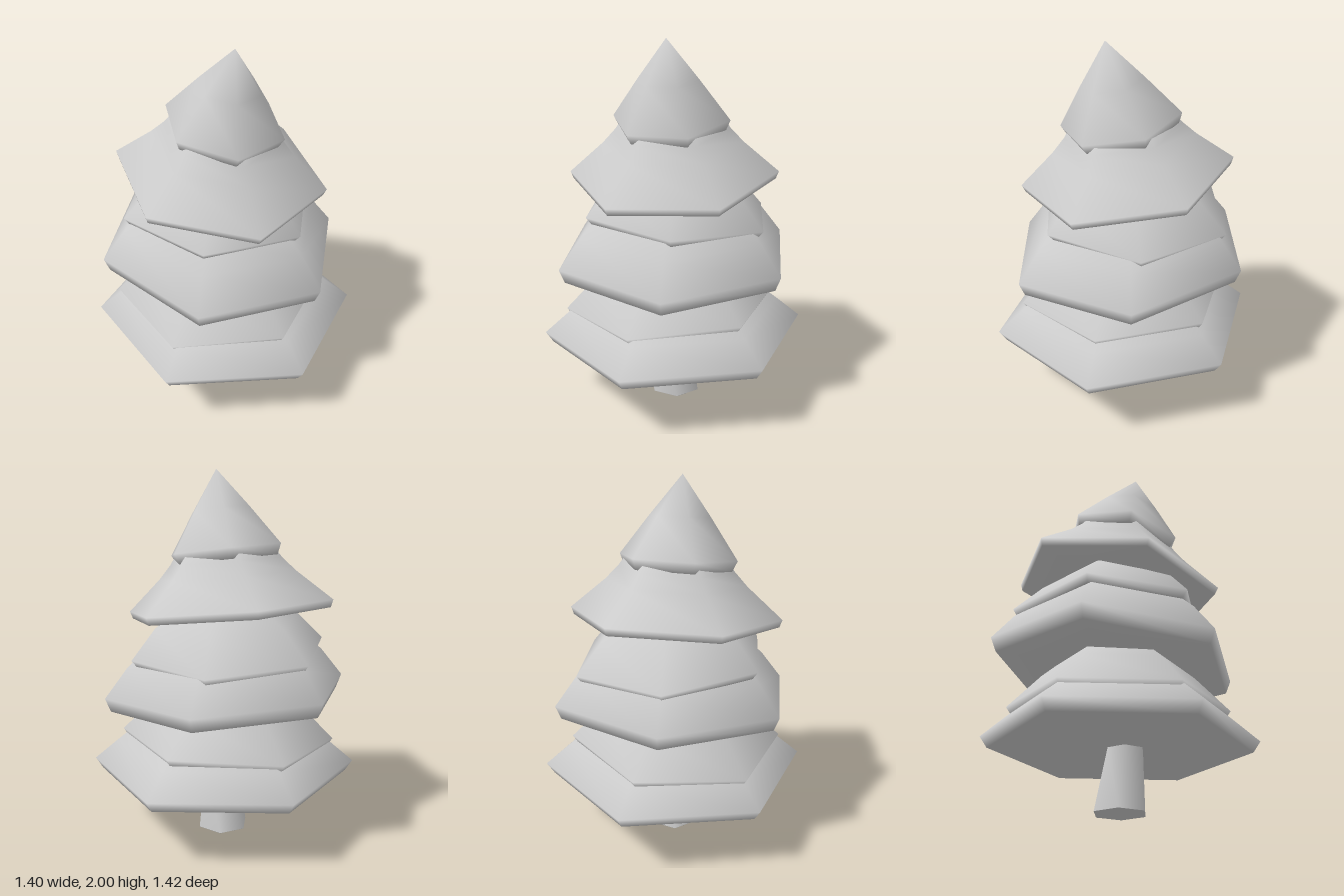
import * as THREE from 'three';
import { mergeVertices } from 'three/addons/utils/BufferGeometryUtils.js';

const material = new THREE.MeshStandardMaterial({ color: 0xcccccc });

// Six-sided smooth layer: profile of [radius, height], then tilted, leaned and moved
function layer(name, { at, turn, tilt = [0, 0], lean = [0, 0], profile }) {
  const points = profile.map(([r, y]) => new THREE.Vector2(r, y));
  let geo = new THREE.LatheGeometry(points, 6, THREE.MathUtils.degToRad(90 - turn));
  const pos = geo.attributes.position;
  for (let i = 0; i < pos.count; i++) {
    const x = pos.getX(i), y = pos.getY(i), z = pos.getZ(i);
    pos.setXYZ(
      i,
      at[0] + x + lean[0] * y,
      at[1] + y + tilt[0] * x + tilt[1] * z,
      at[2] + z + lean[1] * y
    );
  }
  // weld the seam so the shading runs smoothly all the way round
  geo.deleteAttribute('normal');
  geo.deleteAttribute('uv');
  geo = mergeVertices(geo, 1e-4);
  geo.computeVertexNormals();
  const mesh = new THREE.Mesh(geo, material);
  mesh.name = name;
  return mesh;
}

export function createModel() {
  const tree = new THREE.Group();
  tree.name = 'tree';

  // tapering trunk
  tree.add(layer('trunk', {
    at: [0.005, 0, 0], turn: 18, lean: [-0.04, 0.08],
    profile: [[0, 0], [0.145, 0], [0.145, 0.001], [0.103, 0.33], [0.09, 0.42]],
  }));

  // bottom tier
  tree.add(layer('bottomSkirt', {
    at: [0, 0.39, 0], turn: -16, tilt: [0.012, -0.012],
    profile: [[0, -0.06], [0.4, -0.06], [0.69, -0.06], [0.73, 0], [0.59, 0.12], [0.42, 0.26], [0, 0.36]],
  }));
  tree.add(layer('bottomCap', {
    at: [-0.02, 0.545, -0.015], turn: -16, tilt: [0.06, 0],
    profile: [[0, -0.05], [0.56, -0.045], [0.59, 0], [0.41, 0.18], [0.26, 0.3], [0, 0.38]],
  }));

  // middle tier
  tree.add(layer('middleSkirt', {
    at: [0, 0.83, -0.03], turn: 28, tilt: [0, -0.07],
    profile: [[0, -0.065], [0.38, -0.065], [0.645, -0.075], [0.675, 0], [0.55, 0.16], [0.42, 0.28], [0, 0.38]],
  }));
  tree.add(layer('middleCap', {
    at: [0.01, 1.05, -0.06], turn: 26, tilt: [-0.06, 0], lean: [0, 0.1],
    profile: [[0, -0.05], [0.51, -0.04], [0.54, 0], [0.4, 0.155], [0.25, 0.26], [0, 0.34]],
  }));

  // top tier
  tree.add(layer('topSkirt', {
    at: [-0.01, 1.28, -0.025], turn: -2, tilt: [0.022, -0.145], lean: [0, 0.1],
    profile: [[0, -0.035], [0.34, -0.035], [0.555, -0.04], [0.57, 0], [0.38, 0.165], [0.31, 0.24], [0.24, 0.34], [0, 0.42]],
  }));
  tree.add(layer('topCone', {
    at: [-0.017, 1.58, 0.01], turn: 6, tilt: [0.02, -0.18], lean: [-0.03, 0.19],
    profile: [[0, -0.05], [0.295, -0.055], [0.32, 0], [0.165, 0.21], [0, 0.42]],
  }));

  return tree;
}
